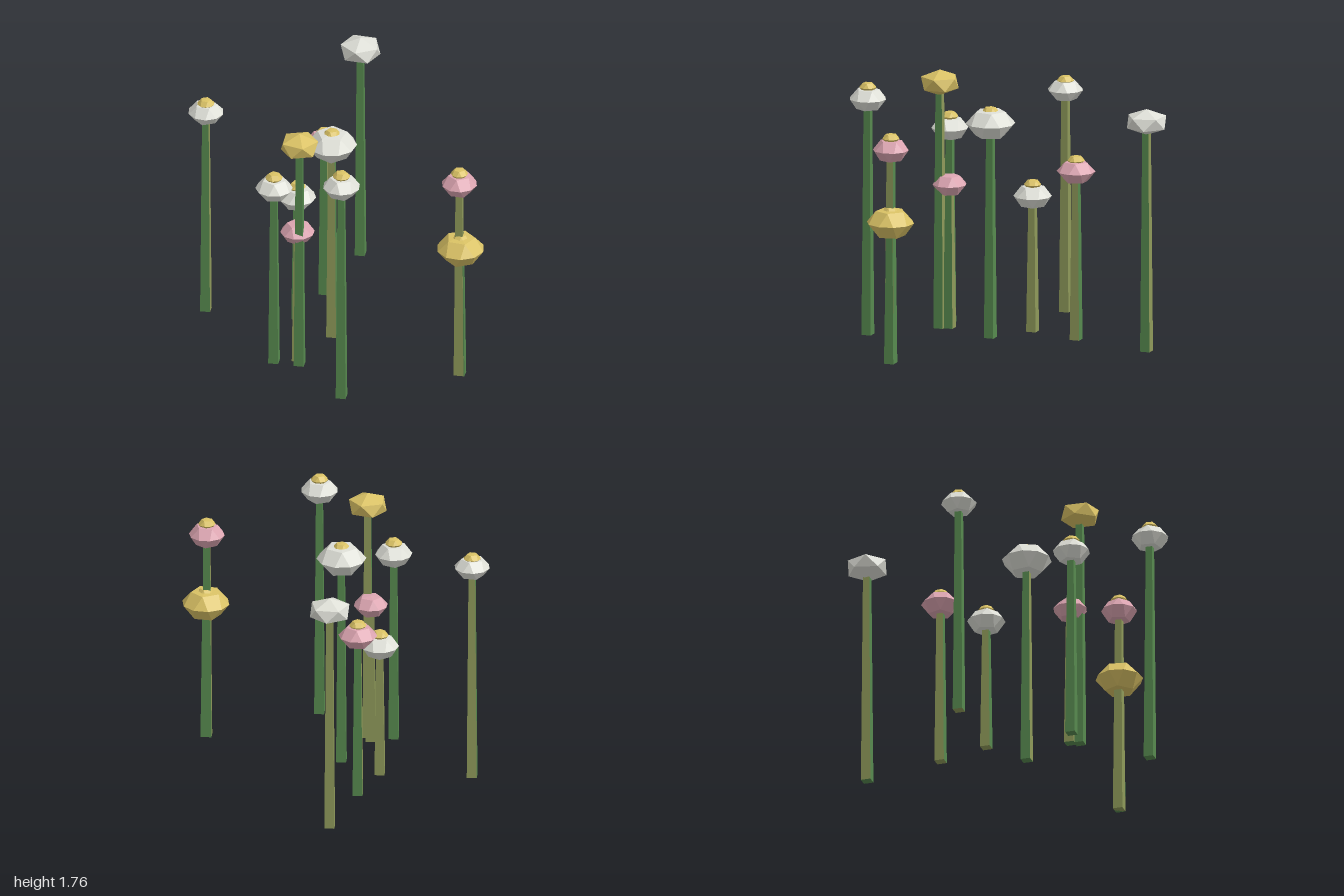
import * as THREE from 'three';
import { ConvexGeometry } from 'three/addons/geometries/ConvexGeometry.js';

const mat = (color) => new THREE.MeshStandardMaterial({ color, flatShading: true });
const colours = {
  white: mat(0xdedfd7), pink: mat(0xdca5b1), yellow: mat(0xdac265),
  g: mat(0x578a4f), o: mat(0x8f9a5a), // stem green and olive
};

// x, z, head height, head radius, half thickness, petal colour, top of the centre (0 = none),
// stem side colours in the order front-left, back-left, back-right, front-right
const flowers = [
  [-0.63, -0.83, 1.515, 0.12, 0.065, 'white', 1.61, 'oogg'],
  [0.64, -0.865, 1.565, 0.135, 0.08, 'white', 0, 'goog'],
  [0.145, -0.57, 1.15, 0.13, 0.07, 'pink', 1.255, 'ogog'],
  [-0.19, -0.4, 0.925, 0.128, 0.07, 'white', 1.035, 'ooog'],
  [-0.135, -0.07, 1.465, 0.167, 0.09, 'white', 1.575, 'gggo'],
  [-0.65, 0, 1.33, 0.125, 0.07, 'white', 1.44, 'gggg'],
  [-0.505, 0.065, 0.98, 0.115, 0.065, 'pink', 0, 'gooo'],
  [-0.53, 0.125, 1.675, 0.128, 0.08, 'yellow', 0, 'gogg'],
  [-0.545, 0.64, 1.61, 0.125, 0.07, 'white', 1.72, 'gggg'],
  [0.28, 0.835, 0.96, 0.16, 0.09, 'yellow', 1.065, 'ggog'],
  [0.275, 0.83, 1.455, 0.12, 0.07, 'pink', 1.565, 'ogoo'],
];

// Faceted bud: a pentagon, a wide ring of ten and another pentagon
function budGeometry() {
  const pts = [];
  const ring = (n, r, y, turn) => {
    for (let i = 0; i < n; i++) {
      const a = (i / n) * Math.PI * 2 + turn;
      pts.push(new THREE.Vector3(Math.cos(a) * r, y, Math.sin(a) * r));
    }
  };
  ring(5, 0.62, -1, 0);
  ring(10, 1, 0, Math.PI / 10);
  ring(5, 0.62, 0.9, Math.PI / 5);
  pts.push(new THREE.Vector3(0, 1, 0));
  return new ConvexGeometry(pts);
}

// Icosahedron with a corner pointing up, for the heads without a centre
function pointedGeometry() {
  const geo = new THREE.IcosahedronGeometry(1.1, 0);
  geo.rotateZ(Math.atan(2 / (1 + Math.sqrt(5))));
  return geo;
}

// Square tapered stem whose sides have their own colours
function makeStem(height, sides) {
  const stem = new THREE.Group();
  stem.name = 'stem';
  [...sides].forEach((key, i) => {
    const geo = new THREE.CylinderGeometry(0.031, 0.047, height, 1, 1, true, i * Math.PI / 2, Math.PI / 2);
    const side = new THREE.Mesh(geo, colours[key]);
    side.name = 'stemSide';
    side.position.y = height / 2;
    stem.add(side);
  });
  const base = new THREE.Mesh(new THREE.CircleGeometry(0.047, 4), colours[sides[0]]);
  base.name = 'stemBase';
  base.rotation.x = Math.PI / 2;
  stem.add(base);
  return stem;
}

export function createModel() {
  const model = new THREE.Group();
  model.name = 'flowerPatch';
  const bud = budGeometry();
  const pointed = pointedGeometry();

  flowers.forEach(([x, z, y, r, h, petal, top, sides], i) => {
    const flower = new THREE.Group();
    flower.name = 'flower';
    flower.position.set(x, 0, z);
    flower.add(makeStem(y, sides));

    const head = new THREE.Mesh(top || petal === 'pink' ? bud : pointed, colours[petal]);
    head.name = 'flowerHead';
    head.position.y = y;
    head.scale.set(r, h, r);
    head.rotation.y = i * 0.7;
    flower.add(head);

    if (top) {
      const centre = new THREE.Mesh(bud, colours.yellow);
      centre.name = 'flowerCentre';
      centre.position.y = top - 0.032;
      centre.scale.set(0.058, 0.032, 0.058);
      centre.rotation.y = i * 1.1;
      flower.add(centre);
    }
    model.add(flower);
  });
  return model;
}
